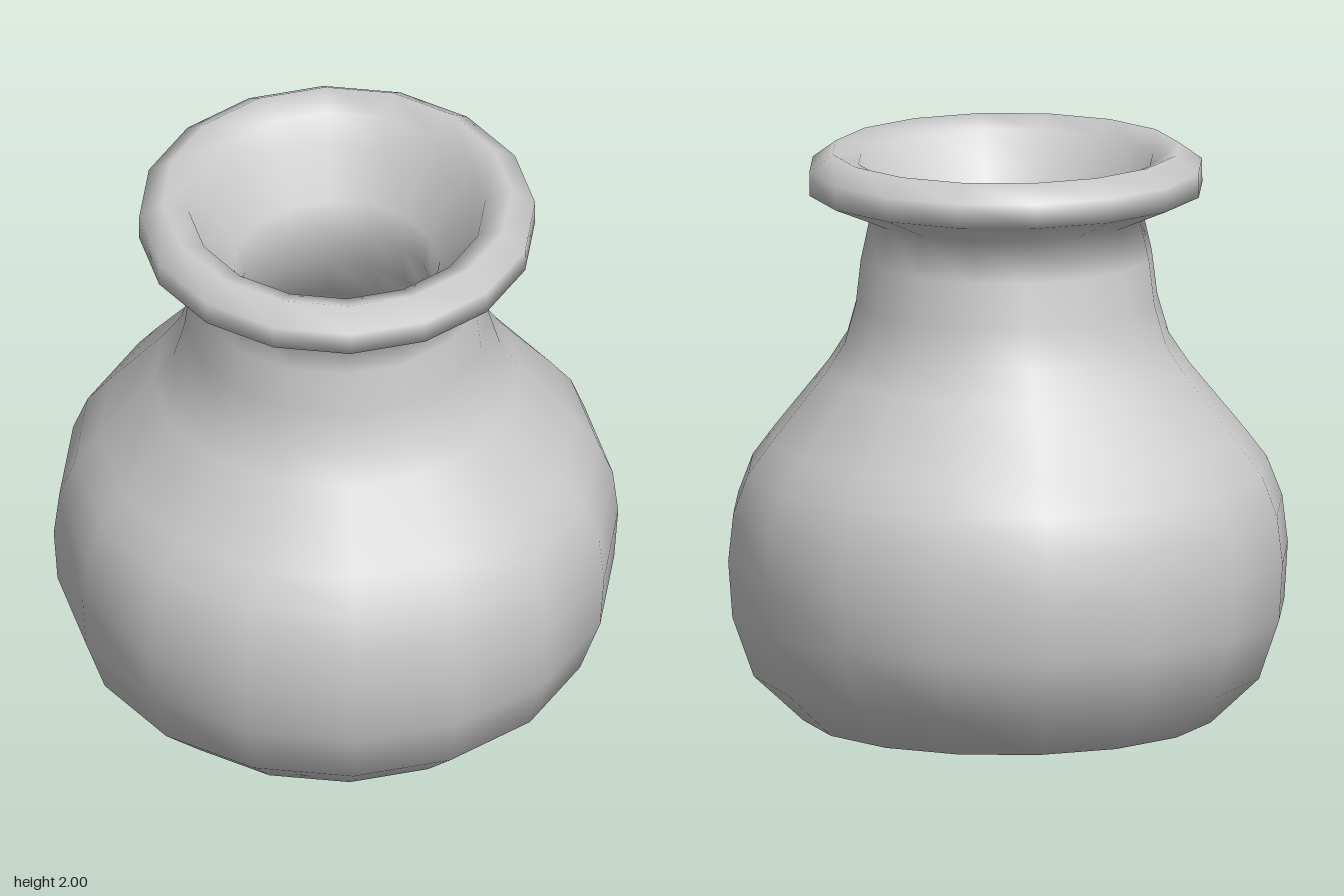
import * as THREE from 'three';

const TILT = 0.04;     // the pot leans slightly forward
const PIVOT = 0.62;    // height of the belly's widest ring
const DEPTH = 1.023;   // slightly deeper than wide

// Radius, height pairs running from the base, up the outside, over the rim and down the inside
const PROFILE = [
  // base and belly
  [0, 0.015], [0.365, 0.015], [0.685, 0.075], [0.85, 0.23], [0.92, 0.43], [0.933, 0.62],
  [0.915, 0.78], [0.865, 0.91], [0.79, 1.01],
  // shoulder and neck
  [0.605, 1.24], [0.54, 1.34], [0.503, 1.47], [0.485, 1.62], [0.455, 1.755],
  // flared rim
  [0.655, 1.84], [0.655, 1.92], [0.577, 1.977], [0.49, 1.94],
  // inner throat
  [0.455, 1.83], [0.34, 1.69], [0.32, 1.58], [0.34, 1.43],
  // hollow inside
  [0.45, 1.22], [0.7, 0.93], [0.79, 0.62], [0.72, 0.3], [0.4, 0.15], [0, 0.13],
];

export function createModel() {
  const points = PROFILE.map(([r, y]) => new THREE.Vector2(r, y - PIVOT));
  const geometry = new THREE.LatheGeometry(points, 16);
  geometry.scale(1, 1, DEPTH);
  geometry.rotateX(TILT);
  geometry.translate(0, PIVOT, 0);

  const pot = new THREE.Mesh(geometry, new THREE.MeshStandardMaterial({ color: 0xcccccc }));
  pot.name = 'pot';

  const model = new THREE.Group();
  model.name = 'clayPot';
  model.add(pot);
  return model;
}
